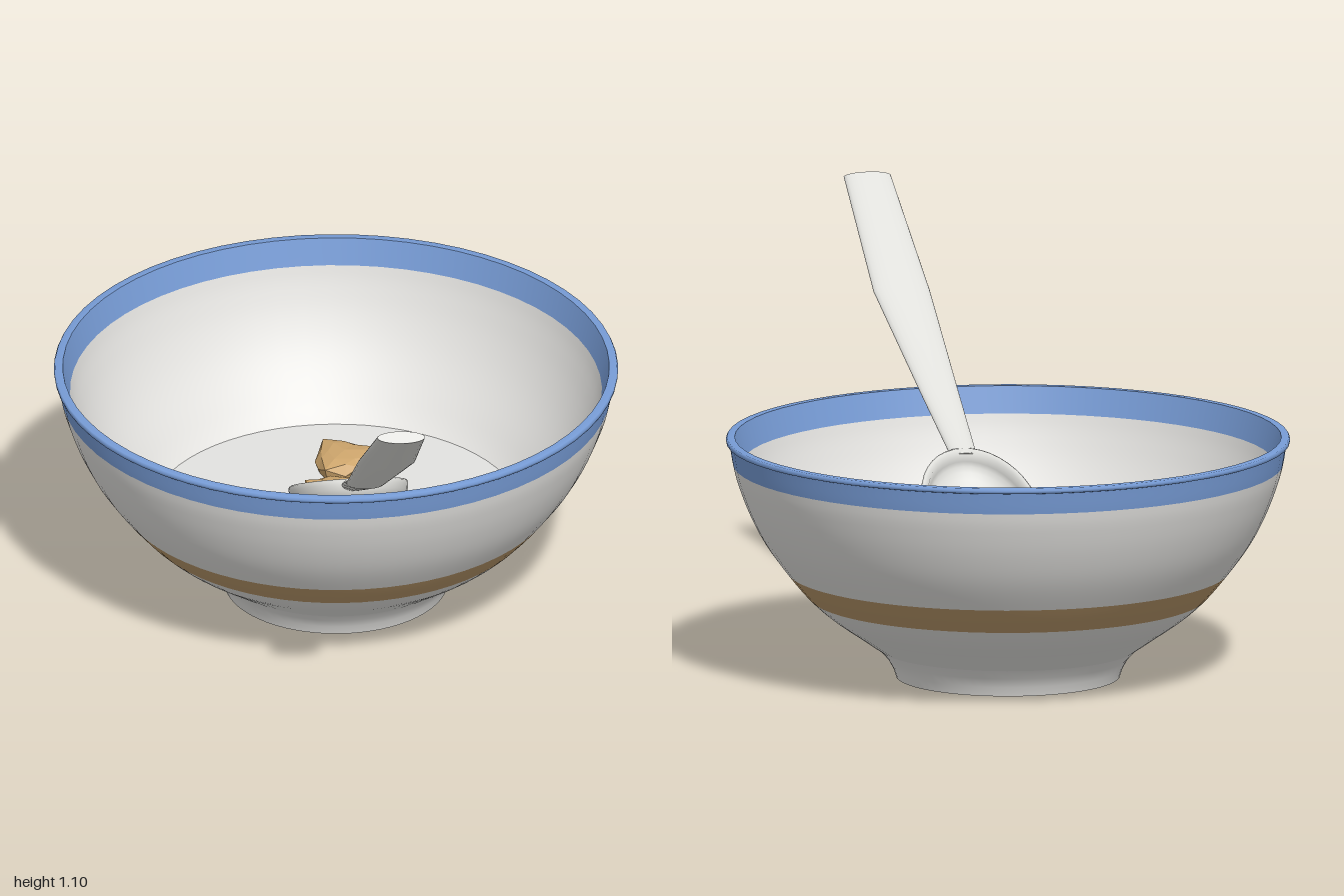
import * as THREE from 'three';

const mat = (name, color, extra = {}) => {
  const m = new THREE.MeshStandardMaterial({ color, ...extra });
  m.name = name;
  return m;
};

export function createModel() {
  const white = mat('glazed white', 0xe4e3e0);
  const blue = mat('blue glaze', 0x779cd6);
  const brown = mat('brown glaze', 0xb8976a);
  const milkMat = mat('milk', 0xe2e2e0);
  const metal = mat('spoon metal', 0xdededa);
  const cerealMat = mat('cereal tan', 0xcda56c, { flatShading: true });

  const model = new THREE.Group();
  const add = (parent, name, geometry, material) => {
    const mesh = new THREE.Mesh(geometry, material);
    mesh.name = name;
    parent.add(mesh);
    return mesh;
  };

  // Bowl: every band is a lathe over part of the wall curve
  const bowl = new THREE.Group();
  bowl.name = 'bowl';
  bowl.position.z = -0.27;
  model.add(bowl);

  // [height, radius] pairs for each wall
  const outerWall = [[0.075, 0.335], [0.12, 0.4], [0.16, 0.458], [0.21, 0.515], [0.28, 0.575],
    [0.36, 0.632], [0.44, 0.673], [0.52, 0.703], [0.56, 0.713], [0.615, 0.722]];
  const innerWall = [[0.1, 0.3], [0.14, 0.39], [0.205, 0.48], [0.28, 0.546], [0.36, 0.604],
    [0.44, 0.647], [0.52, 0.678], [0.56, 0.689], [0.63, 0.708]];
  const radiusAt = (wall, y) => {
    const i = Math.max(1, wall.findIndex(p => p[0] >= y - 1e-6));
    const at = k => wall[Math.min(Math.max(k, 0), wall.length - 1)];
    const [y0, r0] = at(i - 1), [y1, r1] = at(i), h = y1 - y0, t = (y - y0) / h;
    const slope = (a, b) => (b[1] - a[1]) / (b[0] - a[0]);
    const m0 = slope(at(i - 2), at(i)) * h, m1 = slope(at(i - 1), at(i + 1)) * h;
    const t2 = t * t, t3 = t2 * t;
    return (2 * t3 - 3 * t2 + 1) * r0 + (t3 - 2 * t2 + t) * m0 + (3 * t2 - 2 * t3) * r1 + (t3 - t2) * m1;
  };
  const lathe = (name, points, material) =>
    add(bowl, name, new THREE.LatheGeometry(points.map(p => new THREE.Vector2(...p)), 64), material);
  const band = (name, wall, from, to, material, steps = 8) => {
    const pts = [];
    for (let i = 0; i <= steps; i++) {
      const y = from + (to - from) * i / steps;
      pts.push([radiusAt(wall, y), y]);
    }
    lathe(name, pts, material);
  };

  lathe('footRecess', [[0, 0.03], [0.245, 0.03]], white);
  lathe('footInnerWall', [[0.245, 0.03], [0.25, 0]], white);
  lathe('footBase', [[0.25, 0], [0.29, 0]], white);
  lathe('foot', [[0.29, 0], [0.298, 0.025], [0.312, 0.05], [0.335, 0.075]], white);
  band('lowerWall', outerWall, 0.075, 0.21, white);
  band('brownStripe', outerWall, 0.21, 0.28, brown);
  band('upperWall', outerWall, 0.28, 0.56, white, 16);
  band('outerBlueBand', outerWall, 0.56, 0.615, blue);
  lathe('rimLip', [[0.722, 0.615], [0.73, 0.617], [0.731, 0.624], [0.728, 0.63], [0.708, 0.63]], blue);
  band('innerBlueBand', innerWall, 0.63, 0.56, blue);
  band('innerWall', innerWall, 0.56, 0.1, white, 24);
  lathe('innerFloor', [[0.3, 0.1], [0.15, 0.075], [0, 0.07]], white);

  // Milk surface
  const milk = add(bowl, 'milk', new THREE.CircleGeometry(0.482, 64), milkMat);
  milk.rotation.x = -Math.PI / 2;
  milk.position.y = 0.205;

  // Spoon
  const spoon = new THREE.Group();
  spoon.name = 'spoon';
  model.add(spoon);

  // Scoop: a thin round dish stretched into an oval
  const dish = [];
  for (let i = 0; i <= 10; i++) {
    const a = i / 10 * Math.PI / 2;
    dish.push(new THREE.Vector2(Math.sin(a), -0.085 * Math.cos(a)));
  }
  dish.push(new THREE.Vector2(1, 0.01), new THREE.Vector2(0.97, 0.014), new THREE.Vector2(0.89, 0.01));
  for (let i = 9; i >= 0; i--) {
    const a = i / 10 * Math.PI / 2;
    dish.push(new THREE.Vector2(0.88 * Math.sin(a), -0.068 * Math.cos(a)));
  }
  const scoop = add(spoon, 'spoonScoop', new THREE.LatheGeometry(dish, 40), metal);
  scoop.scale.set(0.154, 1, 0.232);
  scoop.rotation.order = 'YXZ';
  scoop.rotation.set(-0.54, 0.08, 0);
  scoop.position.set(0.025, 0.395, -0.04);

  // Handle: an oval bar swept through stations [x, y, z, half width]
  const stations = [[0.036, 0.5, 0.14, 0.034], [0.057, 0.628, 0.37, 0.05],
    [0.102, 0.845, 0.66, 0.074], [0.13, 1.088, 0.985, 0.062]];
  const handleGeo = new THREE.CylinderGeometry(1, 1, 3, 24, 3);
  const pos = handleGeo.attributes.position;
  const tilt = 0.62;
  for (let i = 0; i < pos.count; i++) {
    const [x, y, z, half] = stations[Math.round(pos.getY(i) + 1.5)];
    const depth = pos.getZ(i) * 0.016;
    pos.setXYZ(i, x + pos.getX(i) * half, y - depth * Math.cos(tilt), z + depth * Math.sin(tilt));
  }
  handleGeo.computeVertexNormals();
  add(spoon, 'spoonHandle', handleGeo, metal);

  // Cereal: faceted lumps, dented by a smooth rule so shared corners stay joined
  const lumps = [[0.03, 0.22, -0.515, 0.095], [-0.01, 0.215, -0.35, 0.08], [-0.025, 0.22, -0.28, 0.085],
    [-0.04, 0.215, -0.2, 0.08], [-0.2, 0.22, -0.02, 0.092]];
  lumps.forEach(([x, y, z, size], n) => {
    const geo = new THREE.IcosahedronGeometry(1, 1);
    const p = geo.attributes.position, v = new THREE.Vector3();
    for (let i = 0; i < p.count; i++) {
      v.fromBufferAttribute(p, i);
      const angle = Math.atan2(v.z, v.x);
      const flat = Math.hypot(v.x, v.z);
      const k = 0.88 + 0.16 * flat * Math.cos(3 * angle + n * 1.7)
        + 0.1 * Math.sin(5 * v.x + 4 * v.y + n * 2.3) * Math.cos(4 * v.z + n);
      const dent = v.y > 0.8 ? 0.7 : 1;
      p.setXYZ(i, v.x * k, v.y * k * dent * 0.65, v.z * k);
    }
    geo.computeVertexNormals();
    const lump = add(model, 'cerealPiece' + (n + 1), geo, cerealMat);
    lump.scale.setScalar(size);
    lump.position.set(x, y, z);
  });

  return model;
}
